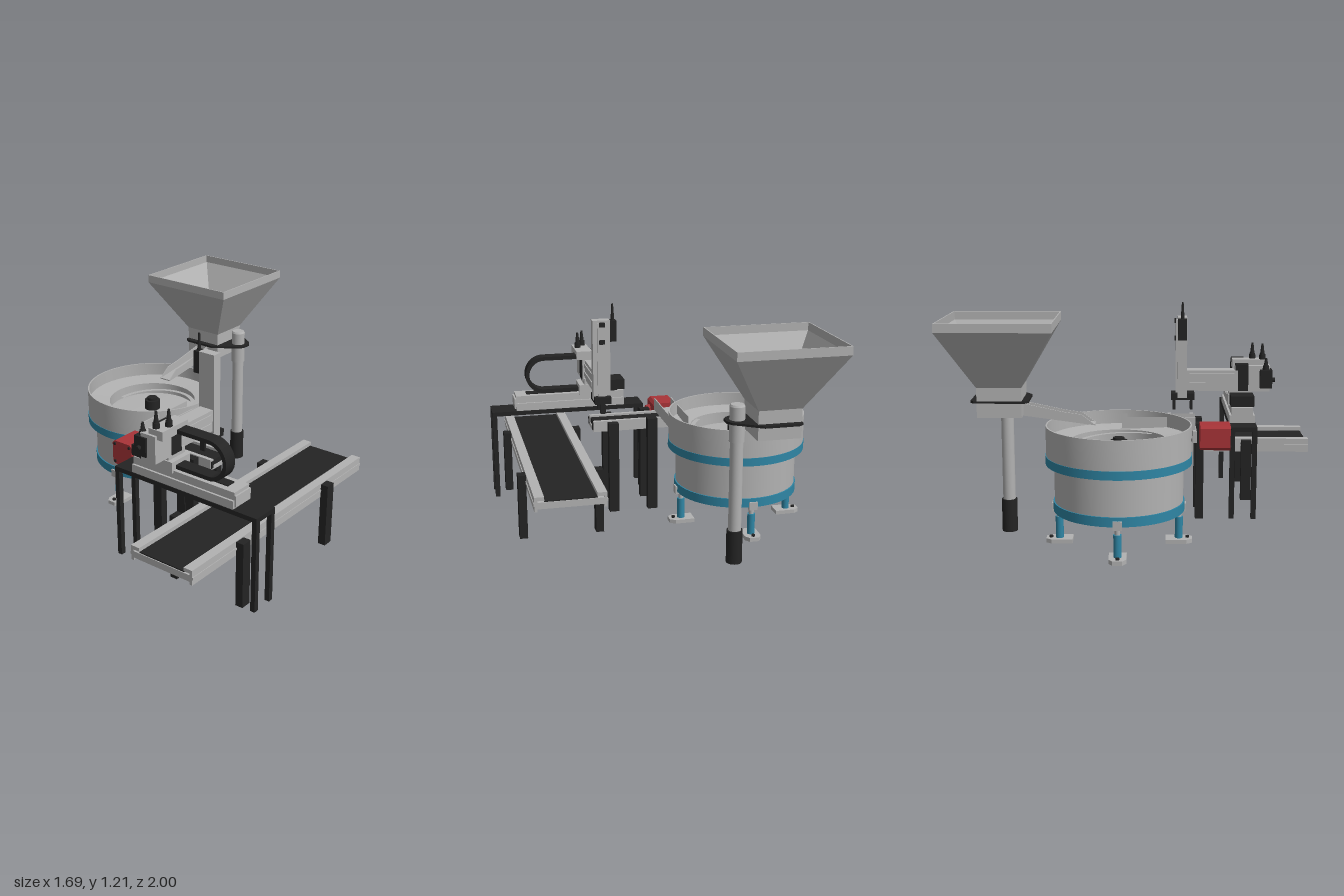
import * as THREE from 'three';
import { toCreasedNormals } from 'three/addons/utils/BufferGeometryUtils.js';

const mat = (name, color) => new THREE.MeshStandardMaterial({ name, color, side: THREE.DoubleSide });

export function createModel() {
  const steel = mat('steel', 0xb2b2b2);
  const black = mat('black', 0x242424);
  const blue = mat('blue', 0x2f86a5);
  const red = mat('red', 0xa83438);
  const root = new THREE.Group();
  root.name = 'partFeedingLine';

  let group = root;
  const section = (name) => {
    group = new THREE.Group();
    group.name = name;
    root.add(group);
  };
  const add = (name, m, geometry, x = 0, y = 0, z = 0) => {
    const mesh = new THREE.Mesh(geometry, m);
    mesh.name = name;
    mesh.position.set(x, y, z);
    group.add(mesh);
    return mesh;
  };
  // Box given by its extents
  const box = (name, m, x0, x1, y0, y1, z0, z1) =>
    add(name, m, new THREE.BoxGeometry(x1 - x0, y1 - y0, z1 - z0), (x0 + x1) / 2, (y0 + y1) / 2, (z0 + z1) / 2);
  // Upright cylinder or cone
  const cyl = (name, m, x, z, y0, y1, r, rTop = r, sides = 24) =>
    add(name, m, new THREE.CylinderGeometry(rTop, r, y1 - y0, sides), x, (y0 + y1) / 2, z);
  const lathe = (name, m, pts, x, z, sides = 64) => {
    const g = new THREE.LatheGeometry(pts.map((p) => new THREE.Vector2(...p)), sides);
    if (sides === 4) g.rotateY(Math.PI / 4);
    return add(name, m, toCreasedNormals(g, 0.5), x, 0, z);
  };
  const shapeOf = (pts) => new THREE.Shape(pts.map((p) => new THREE.Vector2(...p)));
  const extrude = (shape, depth) =>
    new THREE.ExtrudeGeometry(shape, { depth, bevelEnabled: false, curveSegments: 16 });
  // Profile drawn in (z, y), extruded from x1 towards -x
  const sideSlab = (name, m, pts, x1, depth) =>
    add(name, m, extrude(shapeOf(pts), depth).rotateY(-Math.PI / 2), x1);

  // Vibratory bowl
  section('bowlFeeder');
  const bx = -0.455, bz = -0.11;
  cyl('baseBand', blue, bx, bz, 0.185, 0.235, 0.344, 0.344, 64);
  cyl('drum', steel, bx, bz, 0.235, 0.435, 0.337, 0.337, 64);
  cyl('bowlBand', blue, bx, bz, 0.435, 0.48, 0.382, 0.382, 64);
  lathe('bowl', steel, [[0.379, 0.48], [0.379, 0.635], [0.371, 0.635], [0.371, 0.56], [0.253, 0.55],
    [0.253, 0.485], [0.001, 0.495]], bx, bz);
  cyl('centreKnob', black, bx, bz, 0.495, 0.55, 0.045);
  cyl('centreKnobCap', black, bx, bz, 0.55, 0.565, 0.03);

  // Rising spiral track inside the bowl
  const track = new THREE.PlaneGeometry(1, 1, 40, 1);
  const tp = track.attributes.position;
  for (let i = 0; i < tp.count; i++) {
    const t = tp.getX(i) + 0.5, a = Math.PI * (1 + 1.25 * t);
    const r = tp.getY(i) > 0 ? 0.253 : 0.228;
    tp.setXYZ(i, r * Math.cos(a), 0.5 + 0.045 * t, r * Math.sin(a));
  }
  track.computeVertexNormals();
  add('spiralTrack', steel, track, bx, 0, bz);

  // Tangential outlet channel
  box('outletFloor', steel, -0.185, -0.08, 0.545, 0.555, -0.11, 0.3);
  box('outletOuterWall', steel, -0.086, -0.08, 0.55, 0.615, -0.11, 0.3);
  box('outletInnerWall', steel, -0.185, -0.179, 0.55, 0.615, -0.1, 0.3);

  // Four adjustable feet with elongated, chamfered plates
  for (let i = 0; i < 4; i++) {
    const a = (i * Math.PI) / 2;
    const x = bx + 0.315 * Math.cos(a), z = bz + 0.315 * Math.sin(a);
    const plate = extrude(shapeOf([[-0.07, -0.045], [0.04, -0.045], [0.07, -0.025], [0.07, 0.025],
      [0.04, 0.045], [-0.07, 0.045]]), 0.022).rotateX(-Math.PI / 2);
    add('footPlate', steel, plate, x, 0, z).rotation.y = -a;
    cyl('footBolt', black, x + 0.045 * Math.cos(a), z + 0.045 * Math.sin(a), 0.022, 0.032, 0.01);
    cyl('footPost', blue, x, z, 0.022, 0.138, 0.021);
    cyl('footRod', steel, x, z, 0.138, 0.185, 0.014);
    const tab = box('footTab', steel, -0.012, 0.012, 0.17, 0.215, -0.024, 0.024);
    tab.position.x = bx + 0.34 * Math.cos(a);
    tab.position.z = bz + 0.34 * Math.sin(a);
    tab.rotation.y = -a;
  }

  // Hopper on its pole
  section('hopper');
  const hz = -0.713, k = Math.SQRT2;
  lathe('hopperFunnel', steel, [[0.001, 0.69], [0.114 * k, 0.69], [0.114 * k, 0.845], [0.288 * k, 1.145],
    [0.288 * k, 1.19], [0.282 * k, 1.19], [0.282 * k, 1.147], [0.11 * k, 0.847]], bx, hz, 4);
  cyl('poleBase', black, -0.268, hz, 0, 0.18, 0.042);
  cyl('pole', steel, -0.268, hz, 0.18, 0.67, 0.034);
  cyl('poleCollar', steel, -0.268, hz, 0.66, 0.845, 0.04);
  cyl('poleCap', steel, -0.268, hz, 0.845, 0.855, 0.04, 0.034);
  const bracket = shapeOf([[-0.115, -0.13], [-0.09, -0.148], [0.09, -0.148], [0.23, -0.055], [0.25, -0.025],
    [0.25, 0.025], [0.23, 0.055], [0.09, 0.148], [-0.09, 0.148], [-0.115, 0.13]]);
  add('hopperBracket', black, extrude(bracket, 0.012).rotateX(-Math.PI / 2), bx, 0.764, hz);

  // Open chute from hopper to bowl
  const chuteSide = [[-0.61, 0.69], [-0.23, 0.638], [-0.3, 0.692], [-0.39, 0.705], [-0.6, 0.75]];
  sideSlab('chuteSide', steel, chuteSide, -0.42, 0.006);
  sideSlab('chuteSide', steel, chuteSide, -0.486, 0.006);
  sideSlab('chuteFloor', steel, [[-0.61, 0.688], [-0.23, 0.636], [-0.23, 0.642], [-0.61, 0.694]], -0.42, 0.072);

  // Short transfer belt
  section('transferBelt');
  box('beltBed', steel, -0.2, 0.31, 0.478, 0.5, 0.18, 0.285);
  box('transferBeltSurface', black, -0.21, 0.305, 0.485, 0.53, 0.185, 0.28);
  for (const z of [0.155, 0.285]) {
    box('beltSideRail', steel, -0.21, 0.31, 0.478, 0.54, z, z + 0.022);
    box('beltEndCap', black, 0.28, 0.315, 0.49, 0.53, z + 0.003, z + 0.019);
  }
  for (const x of [-0.055, 0.172])
    for (const z of [0.105, 0.308]) box('beltPost', black, x, x + 0.057, 0, x < 0 ? 0.55 : 0.535, z, z + 0.045);

  // Red drive box with chamfered corners
  section('driveUnit');
  const c = 0.015;
  add('driveHousing', red, extrude(shapeOf([[-0.222 + c, 0.436], [-0.085 - c, 0.436], [-0.085, 0.436 + c],
    [-0.085, 0.574 - c], [-0.085 - c, 0.574], [-0.222 + c, 0.574], [-0.222, 0.574 - c], [-0.222, 0.436 + c]]), 0.165), 0, 0, 0.325);
  for (const x of [-0.205, -0.102])
    for (const y of [0.453, 0.557]) add('driveBolt', black, new THREE.CylinderGeometry(0.008, 0.008, 0.008, 12).rotateX(Math.PI / 2), x, y, 0.492);
  add('driveHub', red, new THREE.CylinderGeometry(0.028, 0.034, 0.025, 20).rotateZ(-Math.PI / 2), -0.073, 0.505, 0.44);
  box('driveHandle', red, -0.07, -0.058, 0.495, 0.515, 0.39, 0.48);

  // Outgoing conveyor
  section('conveyor');
  box('conveyorBed', steel, 0.375, 0.725, 0.305, 0.341, -0.52, 1);
  box('conveyorBelt', black, 0.41, 0.688, 0.341, 0.347, -0.515, 0.995);
  for (const s of [-1, 1]) {
    const at = (name, m, a, b, y0, y1, z0, z1) =>
      box(name, m, 0.55 + Math.min(s * a, s * b), 0.55 + Math.max(s * a, s * b), y0, y1, z0, z1);
    at('railTop', steel, 0.138, 0.19, 0.35, 0.37, -0.52, 1);
    at('railWeb', steel, 0.174, 0.19, 0.29, 0.352, -0.52, 1);
    at('railLip', steel, 0.174, 0.194, 0.32, 0.334, -0.52, 1);
    for (const z of [-0.17, 0.597]) at('conveyorLeg', black, 0.19, 0.234, 0, 0.365, z, z + 0.06);
  }

  // Gantry table
  section('gantry');
  box('tableTop', black, -0.057, 0.855, 0.505, 0.53, 0.5, 0.652);
  for (const x of [-0.057, 0.828])
    for (const z of [0.5, 0.624]) box('tableLeg', black, x, x + 0.027, 0, 0.51, z, z + 0.028);

  // Long linear axis
  box('axisBody', steel, 0.06, 0.71, 0.53, 0.575, 0.503, 0.648);
  box('axisCover', steel, 0.06, 0.71, 0.575, 0.617, 0.515, 0.636);
  box('axisEnd', steel, 0.71, 0.72, 0.54, 0.6, 0.515, 0.636);
  box('axisStrip', black, 0.34, 0.645, 0.617, 0.622, 0.547, 0.603);
  box('motorFoot', black, 0.1, 0.165, 0.565, 0.63, 0.52, 0.635);
  box('axisMotor', black, 0.055, 0.178, 0.625, 0.685, 0.51, 0.642);

  // Cable chain loop
  const chain = new THREE.Shape();
  chain.moveTo(0.33, 0.84);
  chain.lineTo(0.535, 0.84);
  chain.absarc(0.535, 0.73, 0.11, Math.PI / 2, -Math.PI / 2, true);
  chain.lineTo(0.33, 0.62);
  chain.lineTo(0.33, 0.642);
  chain.lineTo(0.535, 0.642);
  chain.absarc(0.535, 0.73, 0.088, -Math.PI / 2, Math.PI / 2, false);
  chain.lineTo(0.33, 0.818);
  add('cableChain', black, toCreasedNormals(extrude(chain, 0.072), 0.5), 0, 0, 0.546);

  // Carriage and cross arm
  box('carriage', steel, 0.2, 0.33, 0.605, 0.665, 0.505, 0.648);
  box('carriageBlock', steel, 0.22, 0.3, 0.66, 0.7, 0.51, 0.64);
  box('crossArm', steel, 0.205, 0.29, 0.69, 0.81, 0.265, 0.56);
  box('armRail', steel, 0.2, 0.296, 0.715, 0.74, 0.28, 0.56);
  box('armRail', steel, 0.2, 0.296, 0.765, 0.79, 0.28, 0.56);
  box('armHead', steel, 0.21, 0.305, 0.685, 0.835, 0.54, 0.745);
  box('armHeadTop', steel, 0.25, 0.34, 0.815, 0.865, 0.53, 0.73);
  box('armHeadBand', black, 0.206, 0.309, 0.69, 0.845, 0.545, 0.62);
  box('armMotor', black, 0.177, 0.252, 0.71, 0.815, 0.685, 0.755);
  add('armMotorShaft', black, new THREE.CylinderGeometry(0.013, 0.013, 0.02, 16).rotateX(Math.PI / 2), 0.21, 0.755, 0.763);

  // Tapered cable plugs
  const plug = (x, z, y, h) => {
    cyl('plugBase', black, x, z, y, y + h * 0.4, 0.02, 0.017, 16);
    cyl('plugTip', black, x, z, y + h * 0.4, y + h, 0.013, 0.006, 16);
  };
  plug(0.28, 0.705, 0.855, 0.1);
  plug(0.315, 0.65, 0.855, 0.1);
  plug(0.205, 0.72, 0.81, 0.07);

  // Vertical axis and gripper
  box('verticalAxis', steel, 0.197, 0.297, 0.65, 1.115, 0.212, 0.265);
  box('verticalRail', steel, 0.222, 0.272, 0.66, 1.1, 0.2, 0.212);
  box('verticalMotor', black, 0.16, 0.197, 0.99, 1.11, 0.212, 0.262);
  cyl('motorCable', black, 0.178, 0.237, 1.11, 1.205, 0.011, 0.005, 16);
  for (const y of [0.98, 1.08]) box('sensor', black, 0.23, 0.262, y, y + 0.025, 0.192, 0.202);
  box('gripperBody', black, 0.2, 0.295, 0.635, 0.675, 0.175, 0.31);
  for (const z of [0.185, 0.285]) box('gripperFinger', black, 0.232, 0.262, 0.575, 0.64, z, z + 0.015);

  return root;
}
